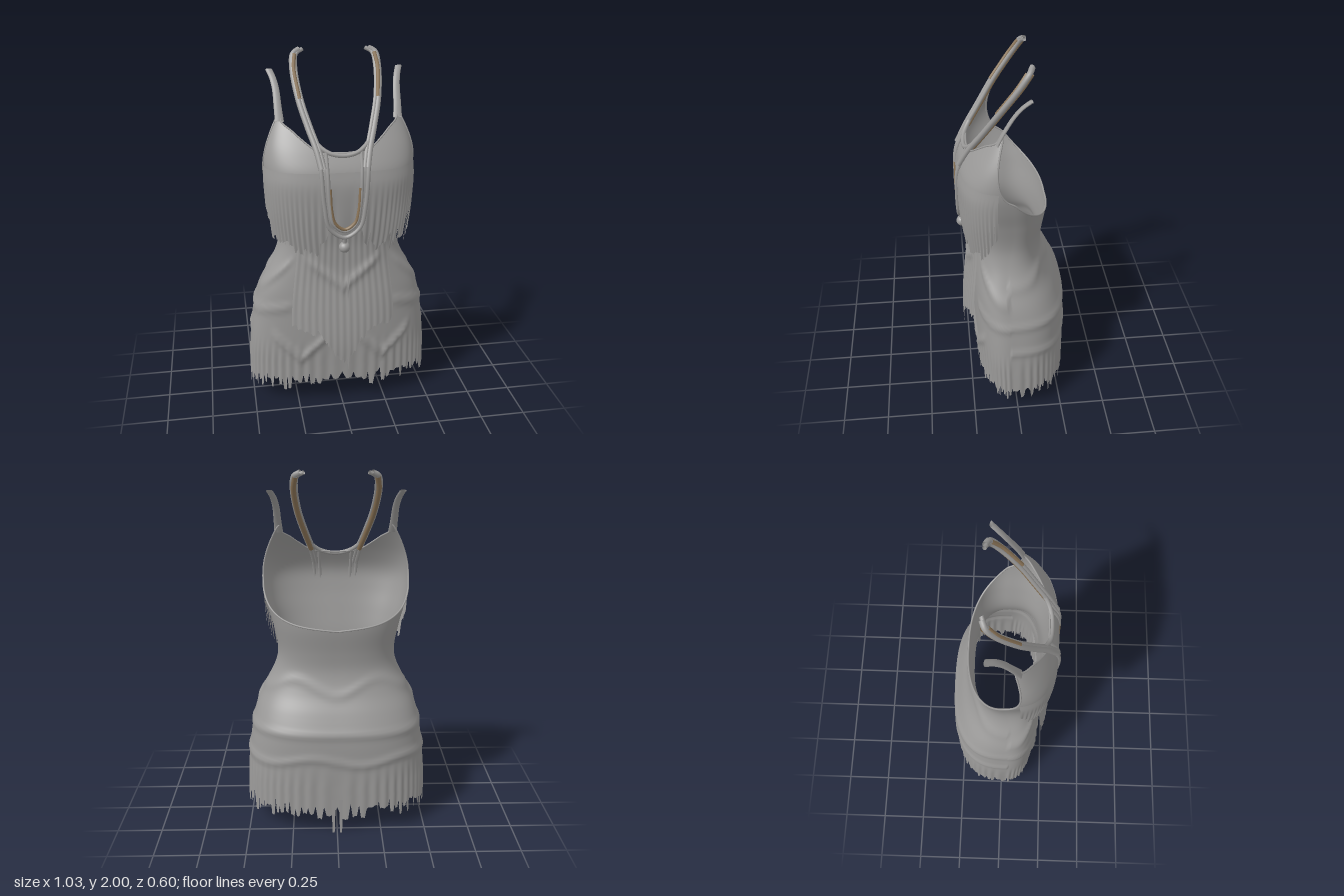
import * as THREE from 'three';
import { mergeVertices } from 'three/addons/utils/BufferGeometryUtils.js';

const V = (x, y, z) => new THREE.Vector3(x, y, z);
const rad = Math.PI / 180;
const { lerp, smoothstep } = THREE.MathUtils;

// Smooth interpolation through rows [key, value, value...]
function curve(rows, k, c = 1) {
  const n = rows.length - 1;
  if (k <= rows[0][0]) return rows[0][c];
  if (k >= rows[n][0]) return rows[n][c];
  let i = 0;
  while (rows[i + 1][0] < k) i++;
  const slope = (j) => {
    const a = rows[Math.max(j - 1, 0)], b = rows[Math.min(j + 1, n)];
    return (b[c] - a[c]) / (b[0] - a[0]);
  };
  const h = rows[i + 1][0] - rows[i][0], t = (k - rows[i][0]) / h, t2 = t * t, t3 = t2 * t;
  return (2 * t3 - 3 * t2 + 1) * rows[i][c] + (t3 - 2 * t2 + t) * h * slope(i)
    + (3 * t2 - 2 * t3) * rows[i + 1][c] + (t3 - t2) * h * slope(i + 1);
}

function hash(n) {
  const s = Math.sin(n * 127.1 + 11.7) * 43758.5453;
  return s - Math.floor(s);
}

// height, half width, front z, back z
const BODY = [
  [0, 0.515, 0.205, -0.298], [0.2, 0.513, 0.21, -0.298], [0.4, 0.503, 0.218, -0.296],
  [0.6, 0.475, 0.222, -0.288], [0.7, 0.447, 0.222, -0.25], [0.8, 0.4, 0.22, -0.2],
  [0.92, 0.343, 0.22, -0.165], [1.02, 0.325, 0.225, -0.168], [1.17, 0.35, 0.25, -0.19],
  [1.3, 0.385, 0.272, -0.19], [1.4, 0.402, 0.277, -0.18], [1.5, 0.397, 0.235, -0.15],
  [1.6, 0.368, 0.175, -0.12], [1.7, 0.325, 0.11, -0.1],
];
const BUST_FRINGE = [
  [0.9, 0.365, 0.25, -0.15], [1.1, 0.39, 0.276, -0.17], [1.25, 0.403, 0.287, -0.18],
  [1.35, 0.408, 0.288, -0.18], [1.42, 0.404, 0.275, -0.175],
];
// angle from the front, height of the upper edge
const TOP_EDGE = [
  [0, 1.51], [12, 1.525], [25, 1.575], [37, 1.615], [56, 1.655], [64, 1.69], [69, 1.66],
  [77, 1.52], [83, 1.43], [90, 1.36], [110, 1.265], [140, 1.2], [180, 1.165],
];
const BUST_HEM = [[0, 1.08], [8, 1.04], [18, 0.97], [35, 0.98], [55, 0.99], [70, 1.03], [82, 1.16]];

const band = (d, width) => Math.exp(-(d * d) / (width * width));

// Rounded section at a height: half width, front, back, widest z, roundness front and back
function section(profile, y) {
  const w = curve(profile, y, 1), f = curve(profile, y, 2), b = curve(profile, y, 3);
  const upper = smoothstep(y, 0.7, 1.1);
  return { w, f, b, mid: lerp(b, f, lerp(0.63, 0.45, upper)), nf: lerp(2.6, 2.9, upper), nb: lerp(2.75, 2.35, upper) };
}

// Point on a section, degrees measured from the front toward +x
function around(profile, deg, y, out = 0) {
  const s = Math.sin(deg * rad), c = Math.cos(deg * rad), q = section(profile, y);
  const p = 2 / (c > 0 ? q.nf : q.nb), z = Math.pow(Math.abs(c), p);
  const x = (q.w + out) * Math.sign(s) * Math.pow(Math.abs(s), p);
  return V(x, y, q.mid + ((c > 0 ? q.f + out : q.b - out) - q.mid) * z);
}

// Raised seams, hip chevrons and hanging fringe ribs
function bodyRelief(deg, y) {
  const p = around(BODY, deg, y), ax = Math.abs(p.x);
  let r = 0;
  if (p.z > 0.04) {
    const d = Math.abs(ax - 0.23);
    r += 0.014 * band(y - 0.3 - d, 0.028) * (1 - smoothstep(d, 0.12, 0.18));
    r += smoothstep(ax, 0.24, 0.32) * 0.01 * (band(y - 0.6 - (0.45 - ax) * 0.2, 0.022) + band(y - 0.72 - (0.45 - ax), 0.022));
  } else {
    r += 0.009 * band(y - 0.6, 0.022) + 0.009 * band(y - 0.44 - 0.02 * Math.sin(p.x * 12), 0.022);
    r += 0.006 * band(y - 0.84 + 0.04 * Math.cos(p.x * 14), 0.025);
  }
  if (y < 0.42) r += 0.003 * Math.sin(deg * 0.9) * Math.min(1, (0.42 - y) * 8);
  return r;
}

// Smooth sheet from a grid of points; u runs right, v runs up
function sheet(name, cols, rows, point, material) {
  const pos = [], index = [];
  for (let j = 0; j <= rows; j++) for (let i = 0; i <= cols; i++) pos.push(...point(i, j).toArray());
  for (let j = 0; j < rows; j++) for (let i = 0; i < cols; i++) {
    const a = j * (cols + 1) + i, b = a + cols + 1;
    index.push(a, a + 1, b + 1, a, b + 1, b);
  }
  let g = new THREE.BufferGeometry();
  g.setAttribute('position', new THREE.Float32BufferAttribute(pos, 3));
  g.setIndex(index);
  g = mergeVertices(g, 1e-5);
  g.computeVertexNormals();
  const m = new THREE.Mesh(g, material);
  m.name = name;
  return m;
}

function tube(name, pts, r, material, closed = false) {
  const path = new THREE.CatmullRomCurve3(pts, closed);
  const m = new THREE.Mesh(new THREE.TubeGeometry(path, pts.length * 8, r, 8, closed), material);
  m.name = name;
  return m;
}

export function createModel() {
  const cloth = new THREE.MeshStandardMaterial({ color: 0x9b9a99, side: THREE.DoubleSide });
  cloth.name = 'grey cloth';
  const bronze = new THREE.MeshStandardMaterial({ color: 0x8c7558, side: THREE.DoubleSide });
  bronze.name = 'dull bronze';
  const model = new THREE.Group();
  model.name = 'fringedDress';

  // Dress body with ragged hem
  const N = 360, R = 56;
  const topAt = (deg) => curve(TOP_EDGE, Math.min(deg, 360 - deg));
  const hemAt = (k) => {
    const strand = Math.floor(k / 4);
    if (k % 4 === 0) return 0.14 + 0.06 * hash(strand + 400);
    return 0.075 + 0.09 * hash(strand) + 0.012 * hash(k + 90);
  };
  model.add(sheet('dressBody', N, R, (i, j) => {
    const deg = (i % N) * 360 / N;
    const y = j === 0 ? hemAt(i % N) : lerp(0.23, topAt(deg), (j - 1) / (R - 1));
    return around(BODY, deg, y, bodyRelief(deg, y));
  }, cloth));

  // Two long strands at the centre of the back hem
  for (const s of [-1, 1]) {
    model.add(sheet('longBackStrand', 2, 6, (i, j) =>
      V(s * 0.021 + (1 - i) * (0.006 + 0.001 * j), 0.002 + 0.035 * j, -0.297), cloth));
  }

  // Rolled edge of the neckline and open back
  const rim = [];
  for (let d = 0; d < 360; d += 4) rim.push(around(BODY, d, topAt(d)));
  model.add(tube('upperEdge', rim, 0.005, cloth, true));

  // Fringe hanging from the bust, with a few deep gaps between strands
  const C = 164;
  model.add(sheet('bustFringe', C, 18, (i, j) => {
    const deg = i - 82, a = Math.abs(deg), strand = Math.floor(i / 5);
    const gap = hash(strand + 60) > 0.6 ? (a > 50 ? 0.16 : 0.09) : 0.03;
    const low = curve(BUST_HEM, a) + (i % 5 === 0 ? gap : 0.09 * hash(strand + 7) - 0.04 + 0.02 * hash(i));
    const y = lerp(low, 1.42, j / 18);
    const rib = 0.003 * Math.sin(i * 1.257) * Math.min(1, Math.max(0, (1.36 - y) * 5));
    return around(BUST_FRINGE, deg, y, rib);
  }, cloth));

  // Pointed front apron with raised chevron
  const APRON_HEM = [[0, 0.32], [0.05, 0.36], [0.12, 0.47], [0.2, 0.505], [0.28, 0.54]];
  model.add(sheet('frontApron', 72, 40, (i, j) => {
    const u = i / 36 - 1;
    const ragged = i === 39 ? -0.09 : (hash(i + 31) - 0.5) * 0.05;
    const y = lerp(curve(APRON_HEM, Math.abs(u) * 0.28) + ragged, 1.08, j / 40);
    const x = u * (0.285 - 0.045 * smoothstep(y, 0.55, 1.08));
    const q = section(BODY, y);
    const z = q.mid + (q.f - q.mid) * Math.pow(1 - Math.pow(Math.abs(x) / q.w, q.nf), 1 / q.nf);
    const lift = 0.014 + 0.05 * smoothstep(1 - y, 0.1, 0.65) * (1 - 0.5 * u * u);
    const chevron = 0.012 * band(y - 0.76 - Math.abs(x) * 0.8, 0.03) * (1 - smoothstep(Math.abs(x), 0.15, 0.22));
    return V(x, y, z + lift + chevron + 0.002 * Math.sin(i * 1.3));
  }, cloth));

  for (const s of [-1, 1]) {
    const side = s > 0 ? 'left' : 'right';

    // Flat shoulder strap
    const strap = new THREE.CatmullRomCurve3([
      V(0.31, 1.65, 0.09), V(0.314, 1.72, 0.055), V(0.318, 1.8, 0.008), V(0.328, 1.85, -0.03), V(0.345, 1.89, -0.07)]);
    model.add(sheet(side + 'ShoulderStrap', 12, 20, (i, j) => {
      const p = strap.getPoint(j / 20), a = i / 12 * Math.PI * 2;
      const w = 0.018 + 0.006 * Math.pow(1 - j / 20, 3);
      return V(s * p.x + s * w * Math.cos(a), p.y + 0.004 * Math.sin(a), p.z + 0.007 * Math.sin(a));
    }, cloth));

    // Upper necklace strand with bronze lining
    const neck = [V(0.178, 1.985, -0.092), V(0.212, 1.965, -0.075), V(0.222, 1.9, -0.03),
      V(0.205, 1.76, 0.07), V(0.168, 1.63, 0.155), V(0.135, 1.53, 0.222), V(0.115, 1.44, 0.27)];
    const shifted = (dx, dz) => neck.map((p) => V(s * (p.x + dx), p.y, p.z + dz));
    model.add(tube(side + 'NecklaceStrand', shifted(0.005, 0.002), 0.015, cloth));
    model.add(tube(side + 'NecklaceInnerStrand', shifted(-0.012, 0), 0.011, cloth));
    model.add(tube(side + 'NecklaceLining', shifted(0, -0.009).slice(1, 6), 0.015, bronze));
    model.add(tube(side + 'NecklaceStripe', shifted(-0.001, 0.012).slice(1, 4), 0.011, bronze));
  }

  // Necklace loops, each mirrored about the centre
  const loop = (name, half, r, mat) => {
    const right = half.slice(0, -1).map((p) => V(-p.x, p.y, p.z));
    model.add(tube(name, [...right, half[half.length - 1], ...half.slice(0, -1).reverse()], r, mat));
  };
  loop('collarLoop', [V(0.17, 1.63, 0.15), V(0.13, 1.555, 0.205), V(0.075, 1.515, 0.235), V(0, 1.5, 0.243)], 0.012, cloth);
  loop('outerLoop', [V(0.13, 1.52, 0.23), V(0.12, 1.4, 0.28), V(0.108, 1.25, 0.289), V(0.08, 1.12, 0.285), V(0, 1.065, 0.28)], 0.011, cloth);
  loop('innerLoop', [V(0.092, 1.52, 0.23), V(0.088, 1.4, 0.279), V(0.08, 1.25, 0.289), V(0.058, 1.14, 0.286), V(0, 1.1, 0.28)], 0.01, cloth);
  loop('innerLoopBronze', [V(0.079, 1.34, 0.287), V(0.072, 1.22, 0.29), V(0.052, 1.148, 0.288), V(0, 1.112, 0.283)], 0.009, bronze);

  // Pendant bead
  const bead = new THREE.Mesh(new THREE.SphereGeometry(0.03, 20, 14), cloth);
  bead.position.set(0, 1.005, 0.268);
  bead.name = 'pendantBead';
  const link = tube('pendantLink', [V(0, 1.065, 0.28), V(0, 1.045, 0.275), V(0, 1.02, 0.27)], 0.011, cloth);
  model.add(bead, link);
  return model;
}
